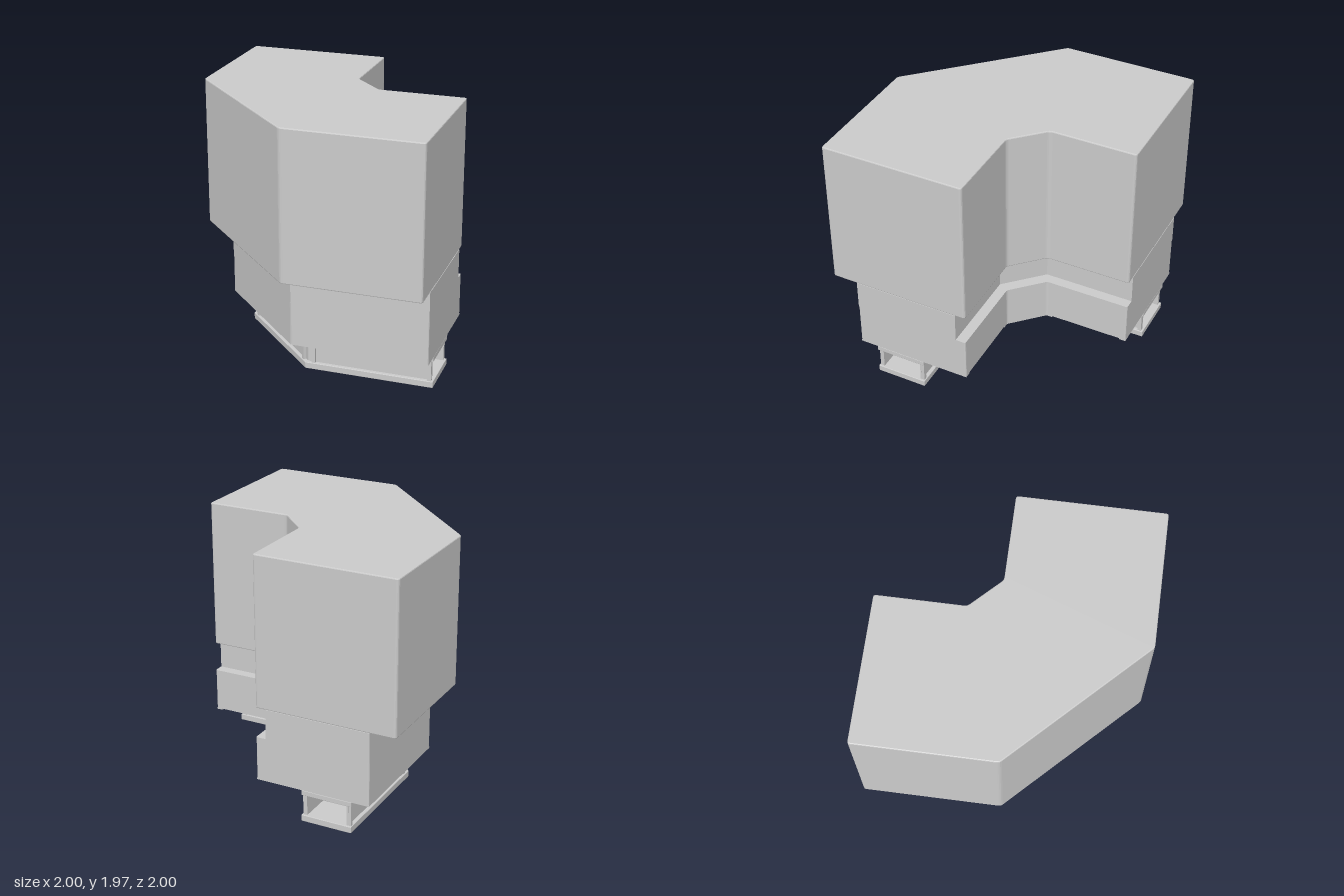
import * as THREE from 'three';

const material = new THREE.MeshStandardMaterial({ color: 0xcccccc });

// The plan is symmetric about a diagonal: (x, z) <-> (-z, -x)
const mirrored = (half) => [...half, ...half.map(([x, z]) => [-z, -x]).reverse()];

// Closed plan outline in (x, z) with slightly softened corners
function outline(points, radius) {
  const shape = new THREE.Shape();
  const pts = points.map(([x, z]) => new THREE.Vector2(x, -z));
  pts.forEach((p, i) => {
    const prev = pts[(i + pts.length - 1) % pts.length];
    const next = pts[(i + 1) % pts.length];
    const a = p.clone().add(prev.clone().sub(p).setLength(Math.max(radius, 1e-4)));
    const b = p.clone().add(next.clone().sub(p).setLength(Math.max(radius, 1e-4)));
    if (!radius) {
      i ? shape.lineTo(p.x, p.y) : shape.moveTo(p.x, p.y);
      return;
    }
    i ? shape.lineTo(a.x, a.y) : shape.moveTo(a.x, a.y);
    shape.quadraticCurveTo(p.x, p.y, b.x, b.y);
  });
  shape.closePath();
  return shape;
}

// Upright slab from y0 to y1 over a plan outline
function slab(name, points, y0, y1, radius = 0, bevel = 0) {
  const geometry = new THREE.ExtrudeGeometry(outline(points, radius), {
    depth: y1 - y0 - 2 * bevel,
    curveSegments: 3,
    bevelEnabled: bevel > 0,
    bevelThickness: bevel,
    bevelSize: bevel,
    bevelOffset: -bevel,
    bevelSegments: 2,
  });
  geometry.rotateX(-Math.PI / 2);
  geometry.translate(0, y0 + bevel, 0);
  const mesh = new THREE.Mesh(geometry, material);
  mesh.name = name;
  return mesh;
}

// Panels and paired posts along a path; side = 1 insets to the right of travel
function panelRun(name, path, side, y0, y1) {
  const run = new THREE.Group();
  run.name = name;
  const add = (part, length, thick, x, z, angle) => {
    const mesh = new THREE.Mesh(new THREE.BoxGeometry(length, y1 - y0, thick), material);
    mesh.position.set(x, (y0 + y1) / 2, z);
    mesh.rotation.y = angle;
    mesh.name = part;
    run.add(mesh);
  };
  for (let i = 0; i < path.length - 1; i++) {
    const [ax, az] = path[i], [bx, bz] = path[i + 1];
    const length = Math.hypot(bx - ax, bz - az);
    const dx = (bx - ax) / length, dz = (bz - az) / length;
    const nx = dz * side, nz = -dx * side;
    const angle = -Math.atan2(dz, dx);
    add('panel', length - 0.03, 0.012, (ax + bx) / 2 + nx * 0.035, (az + bz) / 2 + nz * 0.035, angle);
    const startGap = i === 0 ? 0.03 : 0.06;
    const endGap = i === path.length - 2 ? 0.03 : 0.06;
    for (const t of [startGap, length - endGap]) {
      add('post', 0.028, 0.028, ax + dx * t + nx * 0.022, az + dz * t + nz * 0.022, angle);
    }
  }
  return run;
}

export function createModel() {
  const model = new THREE.Group();
  model.name = 'angledCabinet';

  // Tall upper body, overhanging the lower body on its outer sides
  const upper = [[-1, 0.04], [-1, -1], [0.105, -1], [0.105, -0.335]];
  model.add(slab('upperBody', mirrored(upper), 0.82, 1.975, 0.02, 0.008));

  // Lower body with a recessed band along the inner side
  const band = [[-0.8, 0.04], [-0.8, -1], [0.025, -1], [0.025, -0.295]];
  const lower = [[-0.8, 0.04], [-0.8, -1], [0.105, -1], [0.105, -0.335]];
  model.add(slab('recessedBand', mirrored(band), 0.59, 0.82));
  model.add(slab('lowerBody', mirrored(lower), 0.26, 0.59, 0.012));

  // Underside lip with a shallow cut-out in each arm
  const lip = [
    [-0.8, 0.04], [-0.8, -1], [0.105, -1], [0.105, -0.95],
    [-0.11, -0.95], [-0.11, -0.38], [0.105, -0.38], [0.105, -0.335],
  ];
  model.add(slab('undersideLip', mirrored(lip), 0.25, 0.26));

  // Plinth: two plates joined by posts and recessed panels, open at both ends
  const outerHalf = [[-0.66, -1], [-0.66, -0.02]];
  const innerHalf = [[-0.26, -1], [-0.26, -0.18]];
  const outer = mirrored(outerHalf), inner = mirrored(innerHalf);
  const ring = [...outer, ...inner.slice().reverse()];
  const plinth = new THREE.Group();
  plinth.name = 'plinth';
  plinth.add(slab('basePlate', ring, 0, 0.05, 0.006, 0.004));
  plinth.add(slab('topPlate', ring, 0.21, 0.25, 0.006, 0.004));
  plinth.add(panelRun('outerPanels', outer, 1, 0.05, 0.21));
  plinth.add(panelRun('innerPanels', inner, -1, 0.05, 0.21));
  model.add(plinth);

  return model;
}
